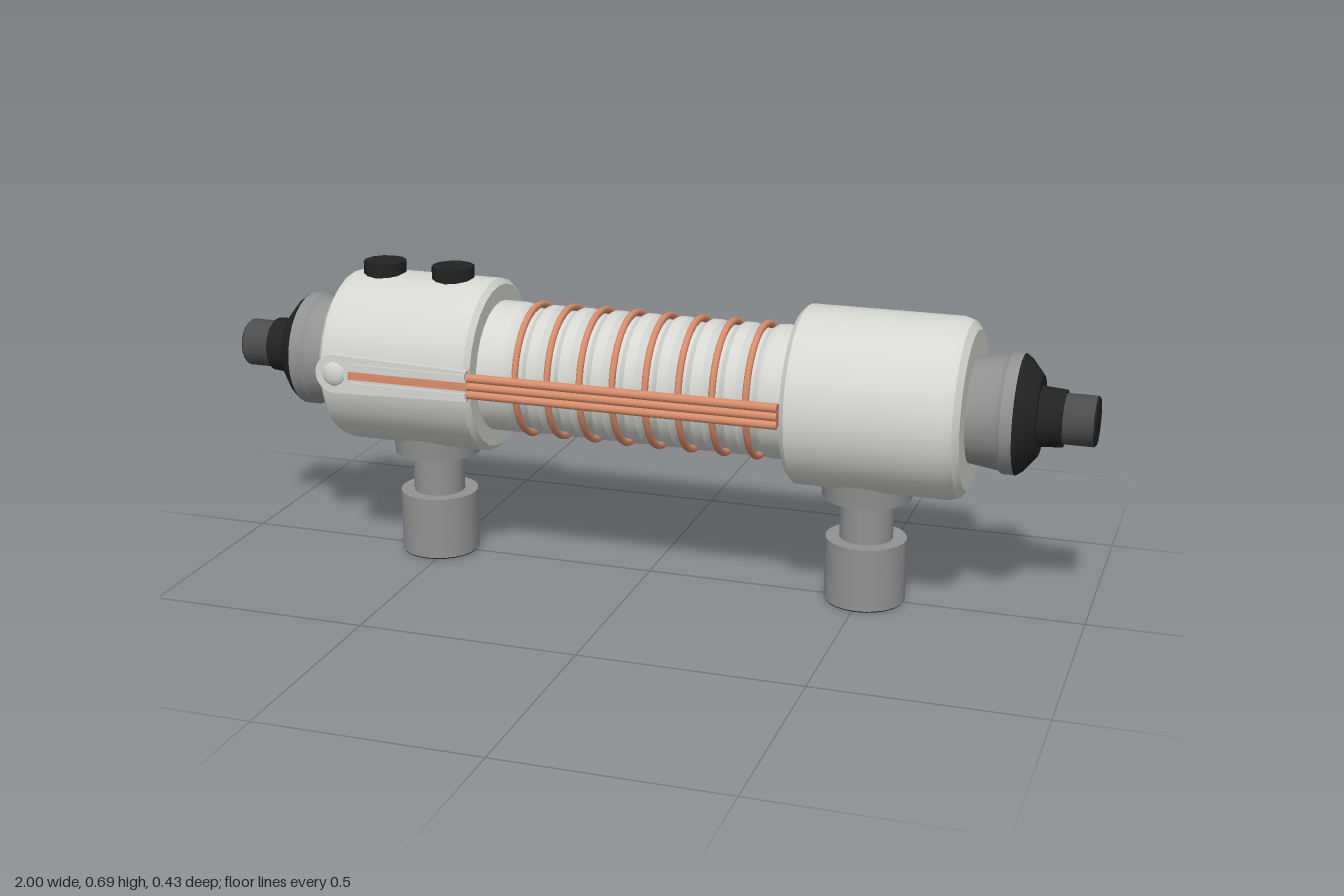
import * as THREE from 'three';
import { toCreasedNormals } from 'three/addons/utils/BufferGeometryUtils.js';

const AXIS_Y = 0.465;

const flat = (name, color) => {
  const m = new THREE.MeshStandardMaterial({ color });
  m.name = name;
  return m;
};

export function createModel() {
  const shell = flat('light shell', 0xd6d6d2);
  const grey = flat('mid grey', 0x929292);
  const black = flat('black', 0x222222);
  const copper = flat('copper', 0xd98e6c);
  const worn = flat('worn grey', 0x4c4c4c);

  const root = new THREE.Group();
  root.name = 'cylinderDevice';

  const add = (parent, name, geometry, material, x = 0, y = 0, z = 0) => {
    const mesh = new THREE.Mesh(geometry, material);
    mesh.name = name;
    mesh.position.set(x, y, z);
    parent.add(mesh);
    return mesh;
  };

  // Turned part along the main axis: profile of [distance along axis, radius]
  const turned = (name, profile, material, side = 1, segments = 28) => {
    const points = profile.map(([d, r]) => new THREE.Vector2(r, d));
    const geometry = toCreasedNormals(new THREE.LatheGeometry(points, segments), 0.5);
    geometry.rotateZ(-side * Math.PI / 2);
    return add(root, name, geometry, material, 0, AXIS_Y, 0);
  };

  // Ribbed core with a copper ring in every groove
  const ringX = Array.from({ length: 8 }, (_, i) => -0.268 + i * 0.0762);
  const coreProfile = [[-0.37, 0.15], [-0.305, 0.15]];
  for (const x of ringX) {
    coreProfile.push([x - 0.026, 0.148], [x - 0.012, 0.138], [x + 0.012, 0.138], [x + 0.026, 0.148]);
  }
  coreProfile.push([0.305, 0.15], [0.37, 0.15]);
  turned('ribbedCore', coreProfile, shell);
  const ringGeometry = new THREE.TorusGeometry(0.148, 0.008, 8, 32).rotateY(Math.PI / 2);
  ringX.forEach((x) => add(root, 'copperRing', ringGeometry, copper, x, AXIS_Y, 0));

  for (const side of [-1, 1]) {
    const s = side < 0 ? 'right' : 'left';
    const inner = side < 0 ? 0.36 : 0.35;

    // Bevelled housing
    turned(s + 'Housing', [
      [inner, 0.0], [inner, 0.188], [inner + 0.012, 0.2],
      [0.7, 0.2], [0.722, 0.193], [0.735, 0.175], [0.735, 0],
    ], shell, side);

    // Collar, dark cone, neck and tip at the end
    turned(s + 'Collar', [[0.73, 0.115], [0.80, 0.125], [0.81, 0.132], [0.836, 0.132]], grey, side);
    turned(s + 'EndCone', [
      [0.836, 0.132], [0.85, 0.122], [0.878, 0.088], [0.878, 0.066], [0.93, 0.062], [0.932, 0],
    ], black, side);
    turned(s + 'Tip', [[0.93, 0.055], [0.996, 0.055]], worn, side, 20);
    turned(s + 'TipFace', [[0.996, 0.055], [1, 0.051], [1, 0]], black, side, 20);

    // Foot: saddle, neck, knob and dark sole
    const foot = new THREE.Group();
    foot.name = s + 'Foot';
    foot.position.x = side < 0 ? -0.523 : 0.508;
    root.add(foot);
    add(foot, 'saddle', new THREE.CylinderGeometry(0.105, 0.1, 0.055, 24), grey, 0, 0.2725);
    add(foot, 'neck', new THREE.CylinderGeometry(0.06, 0.06, 0.11, 20), grey, 0, 0.195);
    add(foot, 'knob', new THREE.CylinderGeometry(0.091, 0.091, 0.145, 24), grey, 0, 0.0755);
    add(foot, 'sole', new THREE.CylinderGeometry(0.089, 0.089, 0.004, 24), black, 0, 0.002);
  }

  // Top buttons
  for (const x of [-0.643, -0.473]) {
    add(root, 'button', new THREE.CylinderGeometry(0.049, 0.049, 0.04, 12), black, x, 0.671, 0);
  }

  // Long rounded mounting plate outline
  const plate = new THREE.Shape();
  plate.moveTo(-0.362, 0.035);
  plate.lineTo(-0.685, 0.045);
  plate.absarc(-0.685, 0, 0.045, Math.PI / 2, Math.PI * 1.5, false);
  plate.lineTo(-0.362, -0.035);
  plate.closePath();
  const plateGeometry = new THREE.ExtrudeGeometry(plate, { depth: 0.04, bevelEnabled: false, curveSegments: 8 });

  // Side rails with plates and screws, front and back
  for (const side of [-1, 1]) {
    const rail = new THREE.Group();
    rail.name = side > 0 ? 'frontRail' : 'backRail';
    rail.position.y = AXIS_Y + 0.006;
    root.add(rail);
    add(rail, 'mountingPlate', plateGeometry, shell, 0, 0, side > 0 ? 0.165 : -0.205);
    const screw = add(rail, 'screw', new THREE.SphereGeometry(0.03, 14, 8), shell, -0.685, 0, side * 0.2);
    screw.scale.z = 0.45;
    add(rail, 'railBacking', new THREE.BoxGeometry(0.71, 0.05, 0.012), copper, -0.005, 0, side * 0.191);
    for (const y of [-0.019, 0, 0.019]) {
      const bar = new THREE.CylinderGeometry(0.01, 0.01, 0.71, 8).rotateZ(Math.PI / 2);
      add(rail, 'copperBar', bar, copper, -0.005, y, side * 0.2);
    }
    // Ridges beside the inlaid strip on the plate
    for (const y of [-0.022, 0.022]) {
      add(rail, 'plateRidge', new THREE.BoxGeometry(0.28, 0.012, 0.012), shell, -0.503, y, side * 0.204);
    }
    if (side > 0) {
      add(rail, 'inlaidStrip', new THREE.BoxGeometry(0.29, 0.018, 0.006), copper, -0.503, 0, 0.206);
    }
  }

  return root;
}
